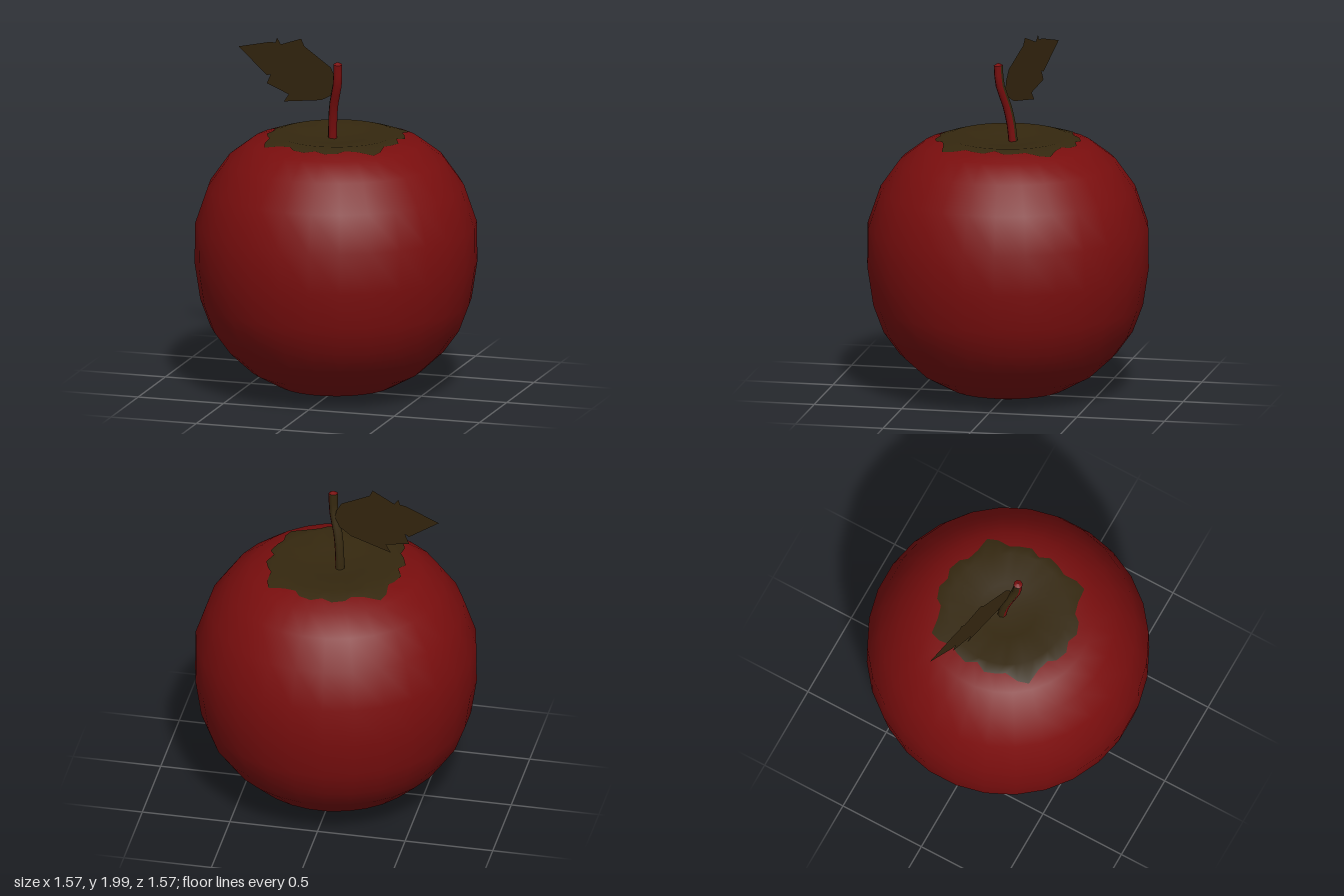
import * as THREE from 'three';

const material = (name, color, side = THREE.FrontSide) => {
  const m = new THREE.MeshStandardMaterial({ color, side });
  m.name = name;
  return m;
};

function part(name, geometry, mat) {
  const mesh = new THREE.Mesh(geometry, mat);
  mesh.name = name;
  return mesh;
}

// Fruit profile as [radius, height], bottom to top
const PROFILE = [
  [0, 0.006], [0.16, 0.008], [0.33, 0.048], [0.48, 0.13], [0.61, 0.25], [0.7, 0.375], [0.758, 0.53],
  [0.79, 0.74], [0.787, 0.97], [0.715, 1.18], [0.605, 1.335], [0.48, 1.43], [0.33, 1.475], [0.16, 1.455], [0, 1.44],
];

// Height of the upper surface at a radius between 0 and 0.48
function topHeight(r) {
  for (let i = PROFILE.length - 1; i > 0; i--) {
    const [r0, y0] = PROFILE[i], [r1, y1] = PROFILE[i - 1];
    if (r <= r1) return y0 + (y1 - y0) * (r - r0) / (r1 - r0);
  }
}

// Scalloped patch that follows the crown of the fruit
function crownGeometry() {
  const quarter = [
    [0.355, 0], [0.385, 0.06], [0.36, 0.13], [0.335, 0.17], [0.34, 0.25], [0.32, 0.31],
    [0.23, 0.32], [0.16, 0.34], [0.13, 0.38], [0.06, 0.405], [0, 0.385],
  ];
  const half = [...quarter, ...quarter.slice(0, -1).reverse().map(([x, z]) => [-x, z])];
  const edge = [...half, ...half.slice(1, -1).reverse().map(([x, z]) => [x, -z])];
  const n = edge.length, positions = [0, topHeight(0) + 0.005, 0], index = [];
  for (const radius of [0.16, 0.33, null]) {
    for (const [x, z] of edge) {
      const R = Math.hypot(x, z), r = radius ?? R;
      positions.push(x / R * r, topHeight(r) + 0.005, z / R * r);
    }
  }
  for (let i = 0; i < n; i++) {
    const j = (i + 1) % n;
    index.push(0, 1 + j, 1 + i);
    for (let k = 0; k < 2; k++) {
      const a = 1 + k * n + i, b = 1 + k * n + j;
      index.push(a, b, b + n, a, b + n, a + n);
    }
  }
  const g = new THREE.BufferGeometry();
  g.setAttribute('position', new THREE.Float32BufferAttribute(positions, 3));
  g.setIndex(index);
  g.computeVertexNormals();
  return g;
}

// Tube whose faces are grouped by whether they face the ripe side
function stemGeometry(curve) {
  const g = new THREE.TubeGeometry(curve, 8, 0.026, 8);
  const normal = g.attributes.normal, old = g.index.array, sides = [[], []];
  for (let i = 0; i < old.length; i += 6) {
    const quad = Array.from(old.slice(i, i + 6));
    const facing = quad.reduce((s, v) => s + normal.getX(v) * 0.65 + normal.getZ(v) * 0.75, 0);
    sides[facing > 0 ? 0 : 1].push(...quad);
  }
  g.setIndex([...sides[0], ...sides[1]]);
  g.addGroup(0, sides[0].length, 0);
  g.addGroup(sides[0].length, sides[1].length, 1);
  return g;
}

// Toothed leaf outline, slanted backwards towards its tip
function leafGeometry() {
  const outline = [
    [0.0, 1.71], [0.01, 1.75], [0.0, 1.8], [-0.03, 1.855], [-0.2, 1.955], [-0.22, 1.995], [-0.35, 1.945], [-0.375, 1.98],
    [-0.385, 1.95], [-0.42, 1.95], [-0.62, 1.897], [-0.44, 1.755], [-0.415, 1.765], [-0.44, 1.71],
    [-0.3, 1.665], [-0.33, 1.62], [-0.09, 1.66],
  ];
  const g = new THREE.ShapeGeometry(new THREE.Shape(outline.map(([x, y]) => new THREE.Vector2(x, y))));
  const p = g.attributes.position;
  for (let i = 0; i < p.count; i++) p.setZ(i, 0.01 + 0.27 * p.getX(i));
  g.computeVertexNormals();
  return g;
}

export function createModel() {
  const red = material('ripe red', 0x7a0e0e);
  const olive = material('dark olive', 0x35280f);
  const leafOlive = material('leaf olive', 0x35260f, THREE.DoubleSide);
  const group = new THREE.Group();
  group.name = 'apple';

  // Fruit and its crown
  const lathe = new THREE.LatheGeometry(PROFILE.map(([r, y]) => new THREE.Vector2(r, y)), 28, Math.PI / 28);
  group.add(part('fruit', lathe, red), part('crown', crownGeometry(), olive));

  // Bent stem with a slanted cut end
  const curve = new THREE.CatmullRomCurve3([
    [-0.028, 1.42, -0.025], [-0.024, 1.53, -0.015], [-0.012, 1.64, 0.005],
    [0.022, 1.78, 0.042], [0.026, 1.888, 0.05],
  ].map((p) => new THREE.Vector3(...p)));
  const stem = part('stem', stemGeometry(curve), [red, olive]);
  const cut = part('stemEnd', new THREE.ConeGeometry(0.026, 0.014, 8), red);
  cut.position.copy(curve.getPoint(1)).addScaledVector(curve.getTangent(1), 0.007);
  cut.quaternion.setFromUnitVectors(new THREE.Vector3(0, 1, 0), curve.getTangent(1));
  group.add(stem, cut);

  group.add(part('leaf', leafGeometry(), leafOlive));
  return group;
}
